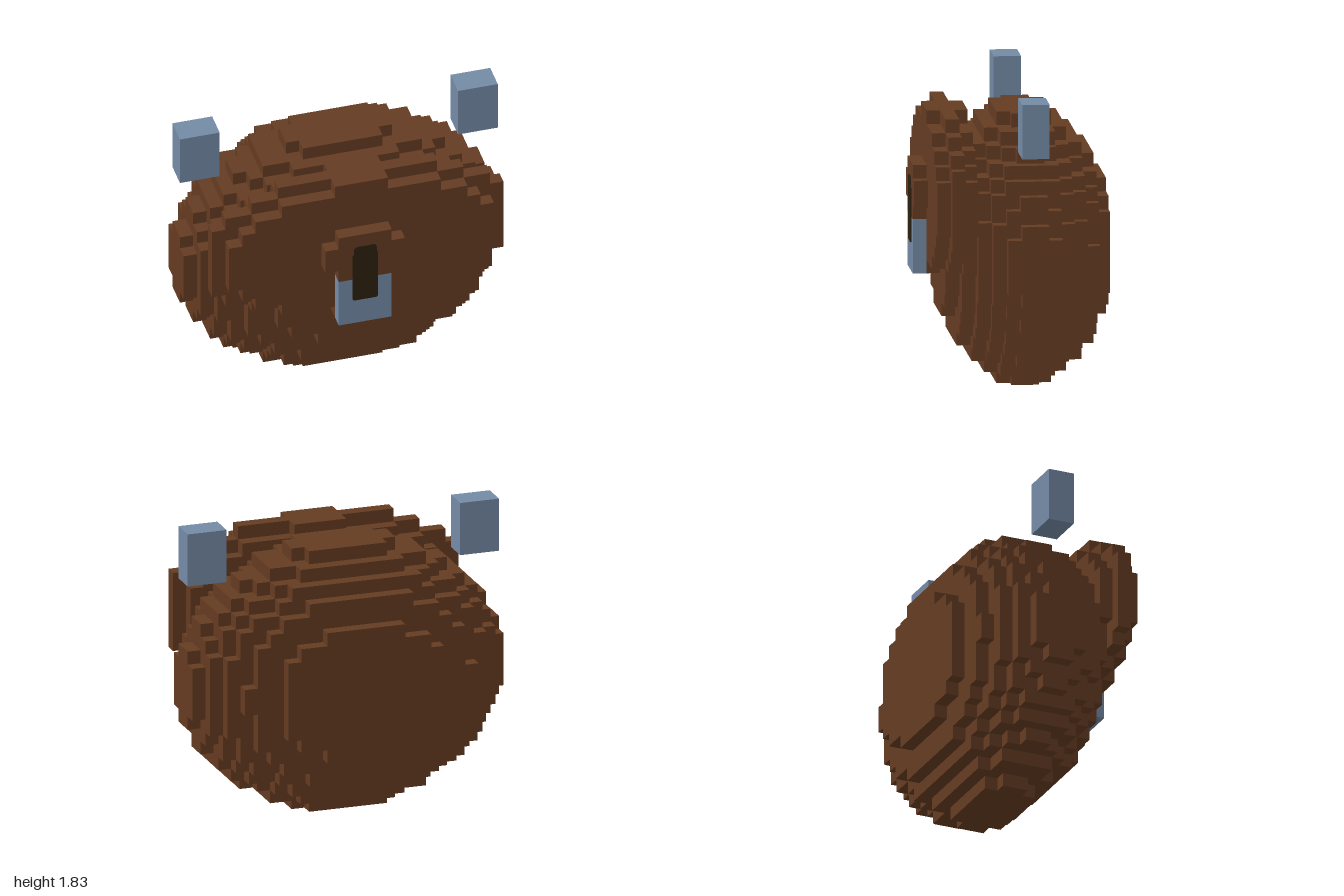
import * as THREE from 'three';

const U = 1 / 12; // size of one block

// Half-widths (in blocks) of the face disc per row, mirrored about its middle row
const FACE_MIDDLE = [11, 11, 11, 10, 8, 6];
const FACE_OUTER = [10, 10, 9, 8, 6, 2];
const SNOUT = { 12: 2, 13: 3, 14: 3, 15: 2 };

// Each part is a test on a block's centre, measured in blocks
const parts = {
  body: (x, y, z) => (x / 12) ** 2 + ((y - 10) / 10) ** 2 + ((z + 1) / 6.5) ** 2 < 1,
  faceDisc: (x, y, z) => {
    const layer = Math.floor(z);
    if (layer < 3 || layer > 5) return false;
    const half = (layer === 4 ? FACE_MIDDLE : FACE_OUTER)[Math.floor(Math.abs(y - 14))];
    return half !== undefined && Math.abs(x) < half;
  },
  snout: (x, y, z) => Math.floor(z) === 6 && Math.abs(x) < (SNOUT[Math.floor(y)] ?? 0),
};

const tests = Object.values(parts);
const filled = (x, y, z) => tests.some((t) => t(x, y, z));

// Makes the outer block faces of one part, skipping faces hidden by any other block
function blockGeometry(own) {
  const pos = [], nor = [];
  const at = (p) => pos.push(p[0] * U, p[1] * U, p[2] * U);
  for (let i = -12; i < 12; i++) for (let j = 0; j < 20; j++) for (let k = -8; k < 8; k++) {
    const c = [i + 0.5, j + 0.5, k + 0.5];
    if (!own(...c)) continue;
    for (let axis = 0; axis < 3; axis++) for (const s of [-1, 1]) {
      const next = [...c];
      next[axis] += s;
      if (filled(...next)) continue;
      const a = (axis + 1) % 3, b = (axis + 2) % 3;
      const corner = (u, v) => {
        const p = [...c];
        p[axis] += s / 2;
        p[a] += u * s / 2;
        p[b] += v / 2;
        return p;
      };
      const q = [corner(-1, -1), corner(1, -1), corner(1, 1), corner(-1, 1)];
      const n = [0, 0, 0];
      n[axis] = s;
      for (const m of [0, 1, 2, 0, 2, 3]) { at(q[m]); nor.push(...n); }
    }
  }
  const g = new THREE.BufferGeometry();
  g.setAttribute('position', new THREE.Float32BufferAttribute(pos, 3));
  g.setAttribute('normal', new THREE.Float32BufferAttribute(nor, 3));
  return g;
}

export function createModel() {
  const material = (name, color) => {
    const m = new THREE.MeshStandardMaterial({ color });
    m.name = name;
    return m;
  };
  const brown = material('brown', 0x653b22);
  const blue = material('greyBlue', 0x748aa5);
  const dark = material('darkBrown', 0x2c2010);

  const group = new THREE.Group();
  group.name = 'blockHead';
  const add = (name, geometry, mat, x = 0, y = 0, z = 0) => {
    const mesh = new THREE.Mesh(geometry, mat);
    mesh.name = name;
    mesh.position.set(x, y, z);
    group.add(mesh);
  };

  // Stepped body, face disc and snout
  for (const [name, test] of Object.entries(parts)) add(name, blockGeometry(test), brown);

  // Floating blocks above each side
  for (const s of [-1, 1]) {
    add(s > 0 ? 'leftEar' : 'rightEar', new THREE.BoxGeometry(3 * U, 4 * U, 2 * U), blue, s * 10.5 * U, 20 * U, -U);
  }

  // Block below the snout
  add('chin', new THREE.BoxGeometry(4 * U, 4 * U, U), blue, 0, 10 * U, 6.5 * U);

  // Thin upright plate with a rounded top
  const plate = new THREE.Shape();
  plate.moveTo(-0.07, 0.84);
  plate.lineTo(0.07, 0.84);
  plate.lineTo(0.08, 0.85);
  plate.lineTo(0.08, 1.18);
  plate.lineTo(0.072, 1.19);
  plate.lineTo(0.072, 1.22);
  plate.quadraticCurveTo(0.07, 1.245, 0.045, 1.245);
  plate.lineTo(-0.045, 1.245);
  plate.quadraticCurveTo(-0.07, 1.245, -0.072, 1.22);
  plate.lineTo(-0.072, 1.19);
  plate.lineTo(-0.08, 1.18);
  plate.lineTo(-0.08, 0.85);
  add('nosePlate', new THREE.ExtrudeGeometry(plate, { depth: 0.006, bevelEnabled: false }), dark, 0, 0, 7 * U - 0.002);

  return group;
}
